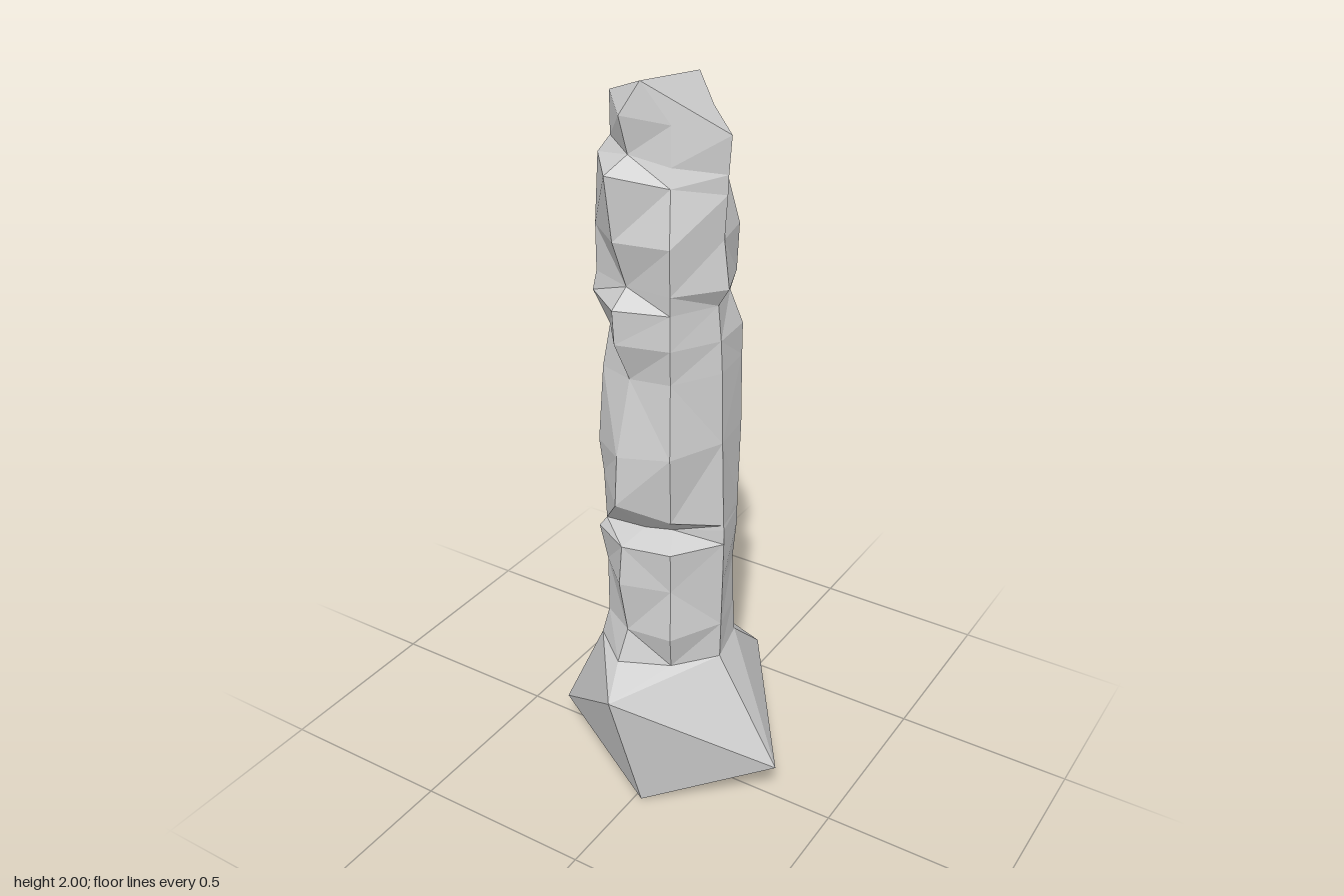
import * as THREE from 'three';
import { ConvexGeometry } from 'three/addons/geometries/ConvexGeometry.js';

// Compass directions of the seven rough ridges, from the front towards +x
const ridges = [-18, 28, 80, 126, 192, 243, 300].map(THREE.MathUtils.degToRad);

// Cross-sections of the shaft: height, tilt along x, tilt along z, ridge radii
const sections = [
  [0.44, 0, -0.03, [0.20, 0.15, 0.163, 0.165, 0.17, 0.18, 0.20]],
  [0.53, 0.1, 0, [0.165, 0.18, 0.165, 0.16, 0.155, 0.17, 0.18]],
  [0.68, 0, 0, [0.19, 0.16, 0.168, 0.155, 0.135, 0.17, 0.18]],
  [0.79, 0.05, 0.03, [0.18, 0.17, 0.17, 0.165, 0.165, 0.17, 0.20]],
  [0.825, 0.1, 0, [0.10, 0.09, 0.17, 0.165, 0.165, 0.165, 0.18]],
  [0.905, -0.3, 0, [0.198, 0.15, 0.168, 0.165, 0.165, 0.17, 0.185]],
  [1.07, 0.15, 0, [0.19, 0.18, 0.16, 0.17, 0.165, 0.17, 0.195]],
  [1.27, 0.1, 0, [0.145, 0.155, 0.155, 0.168, 0.165, 0.175, 0.18]],
  [1.37, 0, 0, [0.19, 0.165, 0.15, 0.168, 0.165, 0.16, 0.16]],
  [1.46, 0, 0, [0.195, 0.16, 0.14, 0.135, 0.10, 0.15, 0.20]],
  [1.51, 0, 0, [0.15, 0.165, 0.172, 0.15, 0.13, 0.15, 0.19]],
  [1.63, 0, 0, [0.19, 0.175, 0.155, 0.155, 0.175, 0.18, 0.19]],
  [1.77, -0.2, 0.05, [0.21, 0.14, 0.163, 0.125, 0.17, 0.155, 0.18]],
  [1.82, -0.2, 0, [0.14, 0.125, 0.165, 0.115, 0.17, 0.135, 0.15]],
  [1.927, -0.25, -0.11, [0.165, 0.115, 0.173, 0.09, 0.172, 0.095, 0.15]],
];

const rings = sections.map(([y, tiltX, tiltZ, radii]) => radii.map((r, i) => {
  const x = r * Math.sin(ridges[i]);
  const z = r * Math.cos(ridges[i]);
  return new THREE.Vector3(x, y + tiltX * x + tiltZ * z, z);
}));

function facets(triangles) {
  const geometry = new THREE.BufferGeometry().setFromPoints(triangles);
  geometry.computeVertexNormals();
  return geometry;
}

// Skin neighbouring sections, always folding along the shorter diagonal
function shaftGeometry() {
  const points = [];
  for (let j = 0; j < rings.length - 1; j++) {
    for (let i = 0; i < ridges.length; i++) {
      const k = (i + 1) % ridges.length;
      const a = rings[j][i], b = rings[j][k], c = rings[j + 1][k], d = rings[j + 1][i];
      if (a.distanceTo(c) < b.distanceTo(d)) points.push(a, b, c, a, c, d);
      else points.push(a, b, d, b, c, d);
    }
  }
  return facets(points);
}

// Slanted top rising to an off-centre peak
function capGeometry() {
  const peak = new THREE.Vector3(-0.01, 2, 0.13);
  const rim = rings[rings.length - 1];
  return facets(rim.flatMap((p, i) => [p, rim[(i + 1) % rim.length], peak]));
}

// Flared foot with a sloping underside, meeting the lowest section
function footGeometry() {
  const corners = [
    [-0.345, 0.10, 0.045], [0.02, 0, 0.21], [0.345, 0.13, 0.03],
    [0.105, 0.27, -0.29], [-0.14, 0.28, -0.30], [-0.02, 0.38, 0.30],
  ].map((p) => new THREE.Vector3(...p));
  return new ConvexGeometry([...corners, ...rings[0]]);
}

export function createModel() {
  const stone = new THREE.MeshStandardMaterial({ color: 0xcecece });
  stone.name = 'grey stone';
  stone.flatShading = true;

  const pillar = new THREE.Group();
  pillar.name = 'rockPillar';
  const parts = { foot: footGeometry(), shaft: shaftGeometry(), cap: capGeometry() };
  for (const [name, geometry] of Object.entries(parts)) {
    const mesh = new THREE.Mesh(geometry, stone);
    mesh.name = name;
    pillar.add(mesh);
  }
  return pillar;
}
